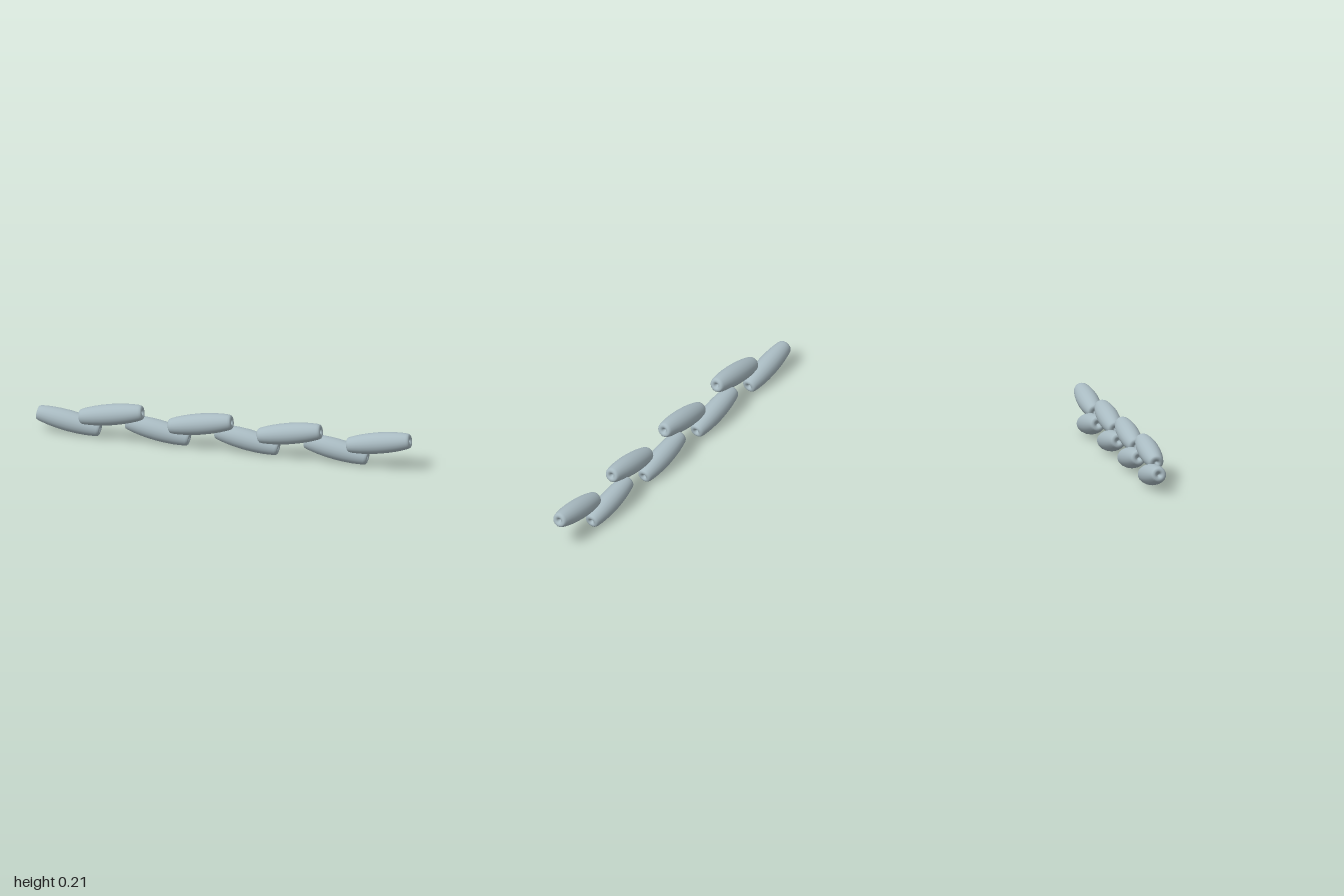
import * as THREE from 'three';

export function createModel() {
  const group = new THREE.Group();
  group.name = 'beadChain';
  const steel = new THREE.MeshStandardMaterial({ color: 0xa9bbc2 });
  steel.name = 'paleSteel';

  // Half profile of one bead (radius, distance along axis), from dimple to waist
  const half = [
    [0, 0.148], [0.007, 0.152], [0.011, 0.162], [0.017, 0.168], [0.024, 0.1695],
    [0.031, 0.168], [0.036, 0.164], [0.040, 0.154], [0.0445, 0.13],
    [0.0495, 0.095], [0.0532, 0.05], [0.0548, 0],
  ];
  const profile = half.map(([r, a]) => new THREE.Vector2(r, -a));
  for (let i = half.length - 2; i >= 0; i--) {
    profile.push(new THREE.Vector2(half[i][0], half[i][1]));
  }
  const beadGeometry = new THREE.LatheGeometry(profile, 20);
  beadGeometry.rotateZ(-Math.PI / 2); // axis along x

  // Eight overlapping beads, alternating low at the back and high at the front
  const tilt = THREE.MathUtils.degToRad(10);
  for (let i = 0; i < 8; i++) {
    const high = i % 2 === 1;
    const bead = new THREE.Mesh(beadGeometry, steel);
    bead.name = (high ? 'upperBead' : 'lowerBead') + (Math.floor(i / 2) + 1);
    bead.position.set((i - 3.5) * 0.2363, high ? 0.144 : 0.07, high ? 0.0195 : -0.0195);
    bead.rotation.z = high ? tilt : -tilt;
    group.add(bead);
  }
  return group;
}
